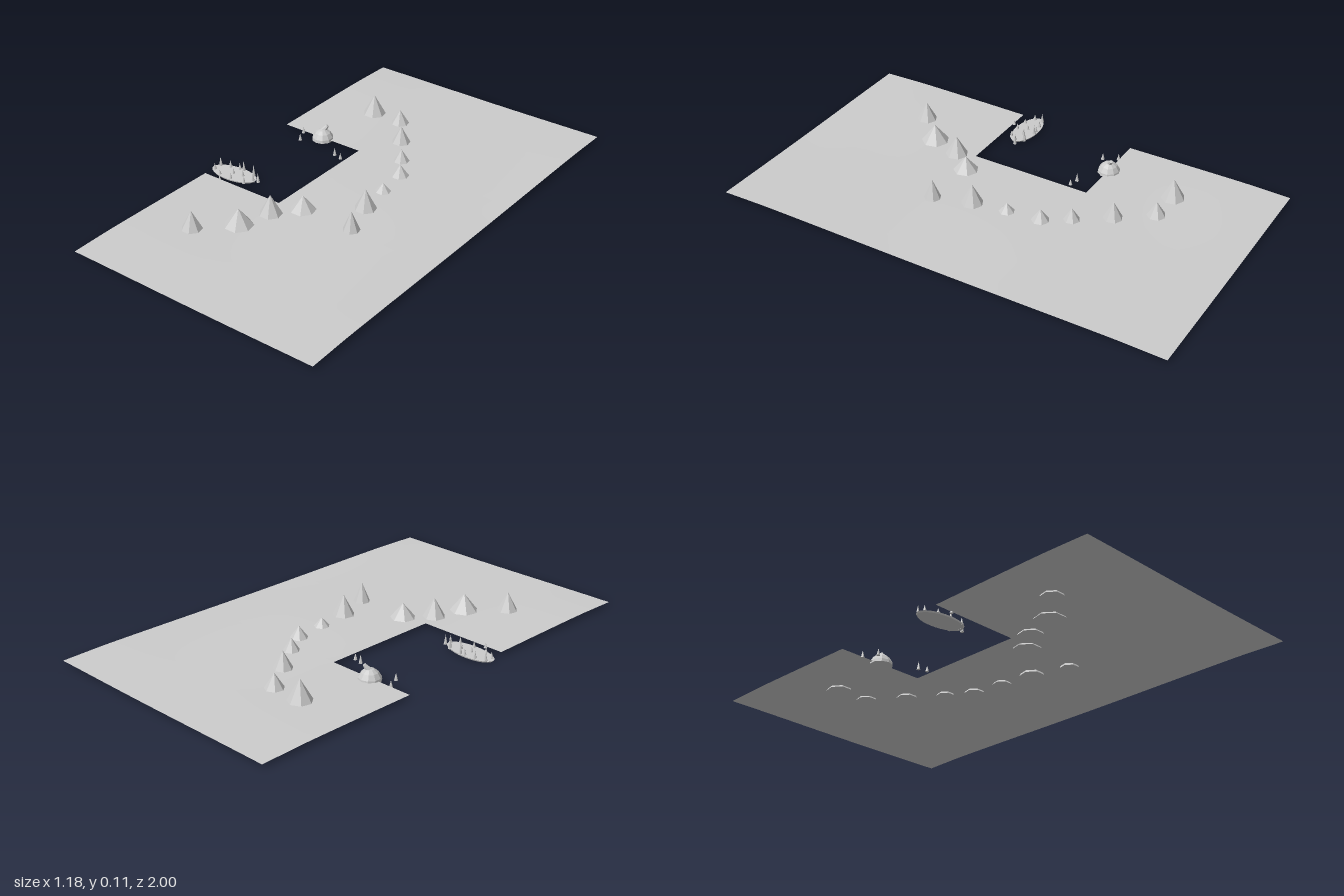
import * as THREE from 'three';
import { mergeGeometries } from 'three/addons/utils/BufferGeometryUtils.js';

export function createModel() {
  const model = new THREE.Group();
  const smooth = new THREE.MeshStandardMaterial({ color: 0xcccccc, side: THREE.DoubleSide });
  const faceted = new THREE.MeshStandardMaterial({ color: 0xcccccc, flatShading: true });
  const add = (name, geometry, material, parent = model) => {
    const mesh = new THREE.Mesh(geometry, material);
    mesh.name = name;
    parent.add(mesh);
    return mesh;
  };

  // Gently rolling land sheet, three patches around a rectangular bay
  const landHeight = (x, z) =>
    0.017 + 0.002 * Math.sin(5 * x + 1) * Math.cos(4 * z) + 0.003 * x - 0.004 * Math.max(0, Math.abs(z) - 0.8) / 0.2;
  const patch = (x0, x1, z0, z1) => {
    const g = new THREE.PlaneGeometry(x1 - x0, z1 - z0, Math.ceil((x1 - x0) * 16), Math.ceil((z1 - z0) * 16));
    g.rotateX(-Math.PI / 2).translate((x0 + x1) / 2, 0, (z0 + z1) / 2);
    const p = g.attributes.position;
    for (let i = 0; i < p.count; i++) p.setY(i, landHeight(p.getX(i), p.getZ(i)));
    g.computeVertexNormals();
    return g;
  };
  add('land', mergeGeometries([
    patch(-0.57, 0.59, -1, -0.27),
    patch(-0.17, 0.59, -0.27, 0.265),
    patch(-0.57, 0.59, 0.265, 1),
  ]), smooth);

  // Cone standing on a given base height, with a flat side to the front
  const cone = (name, x, z, radius, base, top, sides, parent) => {
    const g = new THREE.ConeGeometry(radius, top - base, sides);
    g.rotateY(Math.PI / sides);
    const mesh = add(name, g, faceted, parent);
    mesh.position.set(x, (base + top) / 2, z);
    return mesh;
  };

  // Mountain range curving around the bay: x, z, radius, top
  const mountains = new THREE.Group();
  mountains.name = 'mountains';
  [
    [-0.32, -0.59, 0.055, 0.107], [-0.175, -0.585, 0.045, 0.08], [-0.07, -0.445, 0.045, 0.092],
    [0.027, -0.31, 0.04, 0.072], [0.095, -0.205, 0.045, 0.07], [0.113, -0.06, 0.042, 0.058],
    [0.135, 0.09, 0.052, 0.108], [0.185, 0.25, 0.04, 0.105], [-0.06, 0.245, 0.061, 0.082],
    [-0.145, 0.345, 0.053, 0.102], [-0.19, 0.485, 0.066, 0.092], [-0.32, 0.615, 0.048, 0.098],
  ].forEach(([x, z, r, top]) => cone('mountain', x, z, r, 0.009, top, 7, mountains));
  model.add(mountains);

  // Flat oval island, slightly tilted
  const island = add('island', new THREE.CylinderGeometry(1, 0.96, 0.006, 32), smooth);
  island.scale.set(0.115, 1, 0.052);
  island.position.set(-0.475, 0.008, 0.19);
  island.rotation.z = 0.035;

  // Small trees on the island and along the bay: x, z, top
  const trees = new THREE.Group();
  trees.name = 'trees';
  [
    [-0.57, 0.168, 0.05], [-0.57, 0.205, 0.035], [-0.525, 0.157, 0.042], [-0.523, 0.228, 0.03],
    [-0.48, 0.148, 0.04], [-0.46, 0.146, 0.058], [-0.46, 0.23, 0.04], [-0.432, 0.185, 0.04],
    [-0.395, 0.158, 0.068], [-0.372, 0.19, 0.045], [-0.353, 0.18, 0.05], [-0.395, 0.222, 0.04],
    [-0.48, 0.19, 0.034], [-0.49, 0.265, 0.03],
    [-0.47, -0.265, 0.04], [-0.44, -0.205, 0.04], [-0.238, -0.19, 0.045], [-0.2, -0.18, 0.035],
  ].forEach(([x, z, top]) => cone('tree', x, z, 0.008, 0.008, top, 6, trees));
  model.add(trees);

  // Rounded headland with a small leaning rock on top
  const headland = new THREE.Group();
  headland.name = 'headland';
  headland.position.set(-0.367, 0.009, -0.272);
  const profile = [[0, 0], [0.048, 0], [0.046, 0.013], [0.034, 0.033], [0.018, 0.045], [0, 0.05]]
    .map(([r, y]) => new THREE.Vector2(r, y));
  add('mound', new THREE.LatheGeometry(profile, 10), faceted, headland);
  const rock = add('rock', new THREE.CylinderGeometry(0.007, 0.014, 0.035, 7), faceted, headland);
  rock.position.set(0.007, 0.05, -0.008);
  rock.rotation.set(-0.5, 0, -0.5);
  model.add(headland);

  return model;
}
